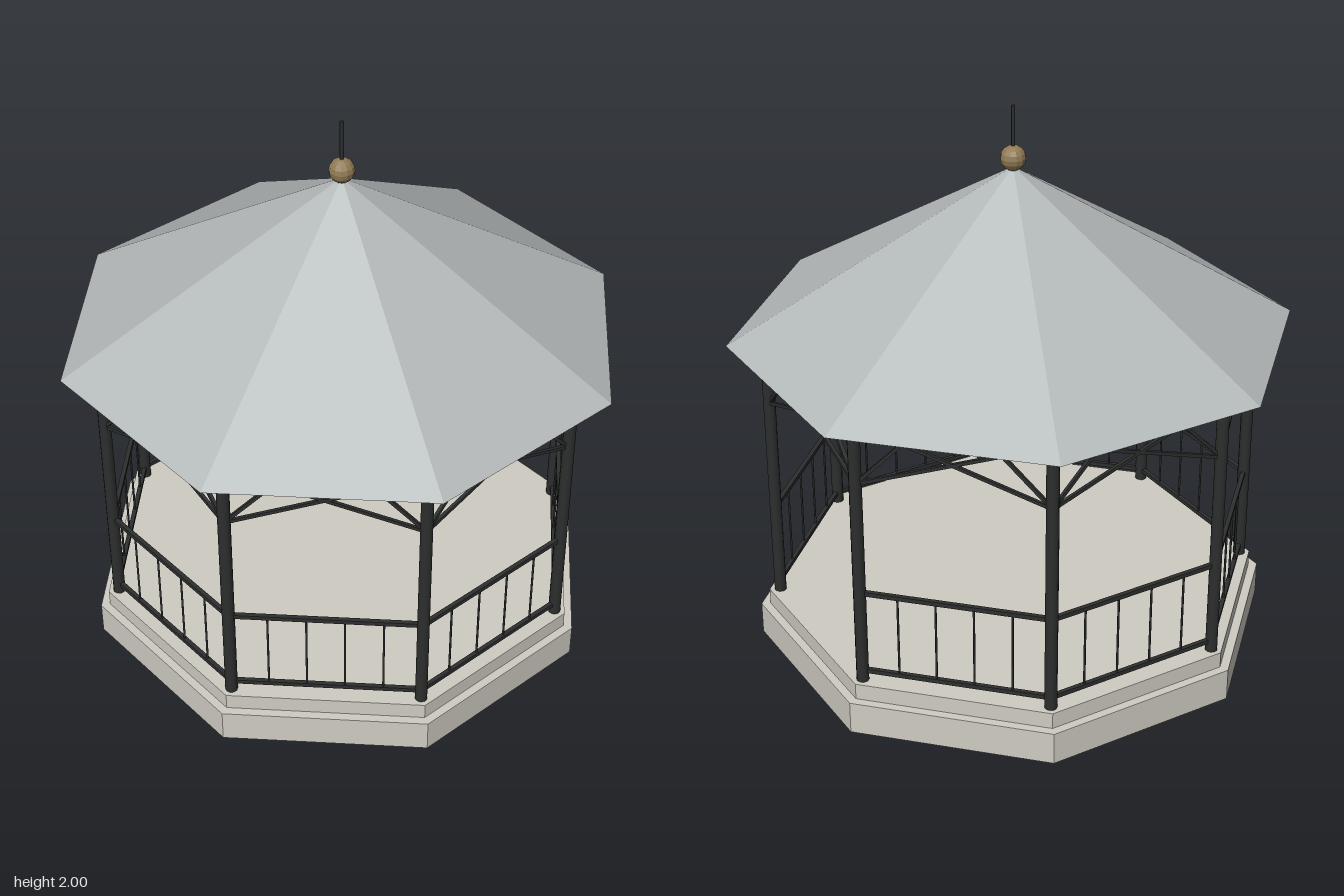
import * as THREE from 'three';

const mat = (name, color) => {
  const m = new THREE.MeshStandardMaterial({ color });
  m.name = name;
  return m;
};

export function createModel() {
  const stone = mat('pale stone', 0xcfccc2);
  const iron = mat('dark iron', 0x2d2e2e);
  const slate = mat('grey roof', 0xb4b9b9);
  const brass = mat('aged brass', 0x8f7a54);

  const model = new THREE.Group();
  model.name = 'pavilion';

  const add = (parent, name, geometry, material, y = 0) => {
    const mesh = new THREE.Mesh(geometry, material);
    mesh.name = name;
    mesh.position.y = y;
    parent.add(mesh);
    return mesh;
  };

  // Eight-sided solid with a flat side facing the front
  const octagon = (name, rTop, rBottom, y0, y1, material) => {
    const g = new THREE.CylinderGeometry(rTop, rBottom, y1 - y0, 8).rotateY(Math.PI / 8).toNonIndexed();
    g.computeVertexNormals();
    return add(model, name, g, material, (y0 + y1) / 2);
  };

  octagon('lowerStep', 0.936, 0.936, 0, 0.12, stone);
  octagon('floor', 0.903, 0.903, 0.12, 0.18, stone);
  octagon('roof', 0, 1, 1.18, 1.785, slate);

  // Finial
  const ball = new THREE.SphereGeometry(0.045, 12, 8).toNonIndexed();
  ball.computeVertexNormals();
  add(model, 'finialBall', ball, brass, 1.815);
  add(model, 'finialSpike', new THREE.CylinderGeometry(0.007, 0.007, 0.17, 8), iron, 1.915);

  // Square bar between two points of a bay
  const bar = (parent, name, a, b, height, depth) => {
    const d = b.clone().sub(a);
    const mesh = add(parent, name, new THREE.BoxGeometry(d.length(), height, depth), iron);
    mesh.position.copy(a).add(b).multiplyScalar(0.5);
    mesh.rotation.z = Math.atan2(d.y, d.x);
  };

  const postR = 0.863;
  const half = postR * Math.sin(Math.PI / 8);
  const dist = postR * Math.cos(Math.PI / 8);
  const P = (x, y) => new THREE.Vector3(x, y, dist);
  const entrance = 3; // bay without railing

  for (let i = 0; i < 8; i++) {
    const bay = new THREE.Group();
    bay.name = 'bay' + (i + 1);
    bay.rotation.y = i * Math.PI / 4;
    model.add(bay);

    // Post at the corner and the beam overhead
    const post = add(bay, 'post', new THREE.CylinderGeometry(0.022, 0.022, 1, 10), iron, 0.68);
    post.position.x = half;
    post.position.z = dist;
    bar(bay, 'beam', P(-half, 1.142), P(half, 1.142), 0.046, 0.04);

    // Crossing braces under the beam
    for (const s of [-1, 1]) {
      bar(bay, 'shortBrace', P(s * half, 0.95), P(s * half * 0.5, 1.12), 0.012, 0.012);
      bar(bay, 'longBrace', P(s * half, 0.95), P(-s * half * 0.5, 1.12), 0.012, 0.012);
    }

    // Railing with four balusters
    if (i === entrance) continue;
    bar(bay, 'bottomRail', P(-half, 0.22), P(half, 0.22), 0.016, 0.016);
    bar(bay, 'topRail', P(-half, 0.53), P(half, 0.53), 0.016, 0.016);
    for (let k = 1; k < 5; k++) {
      const baluster = add(bay, 'baluster', new THREE.CylinderGeometry(0.004, 0.004, 0.31, 6), iron, 0.375);
      baluster.position.x = half * (k * 0.4 - 1);
      baluster.position.z = dist;
    }
  }
  return model;
}
